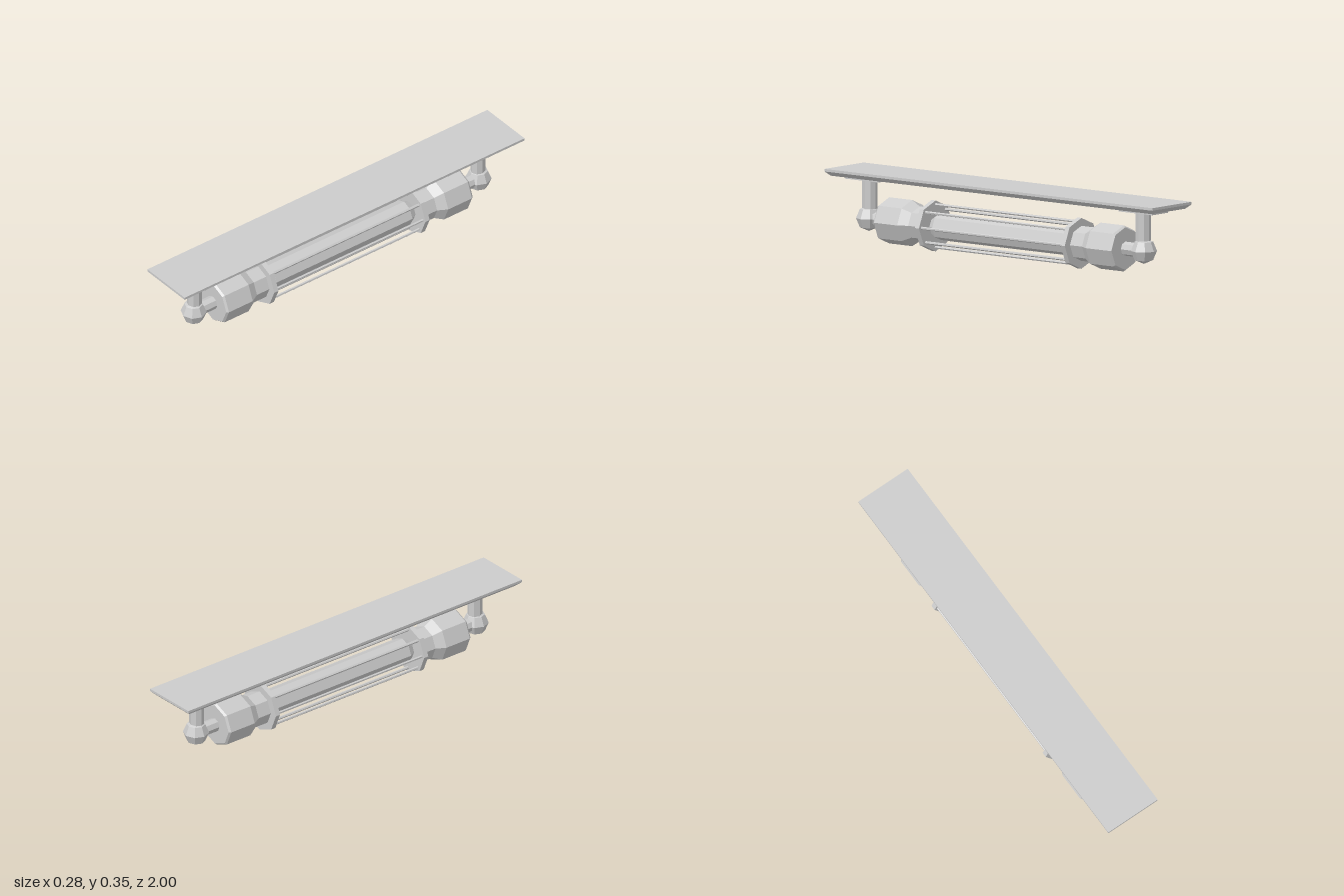
import * as THREE from 'three';

const material = new THREE.MeshStandardMaterial({ color: 0xcccccc, flatShading: true });

function part(name, geometry, parent) {
  const mesh = new THREE.Mesh(geometry, material);
  mesh.name = name;
  parent.add(mesh);
  return mesh;
}

// Eight-sided solid turned around the z axis from [radius, z] pairs in rising z
function turned(profile) {
  const points = profile.map(([r, z]) => new THREE.Vector2(r, z));
  return new THREE.LatheGeometry(points, 8).rotateX(Math.PI / 2);
}

// Ceiling plate whose underside is chamfered inward
function plateGeometry() {
  const g = new THREE.BoxGeometry(0.28, 0.032, 2, 1, 2, 1);
  const p = g.attributes.position;
  for (let i = 0; i < p.count; i++) {
    const y = p.getY(i);
    if (y < -0.01) {
      p.setX(i, Math.sign(p.getX(i)) * 0.119);
      p.setZ(i, Math.sign(p.getZ(i)) * 0.979);
    } else if (y < 0.01) p.setY(i, 0.004);
  }
  return g.translate(0, 0.333, 0);
}

// One end of the lamp, built towards +z around the lamp axis
function buildEnd() {
  const end = new THREE.Group();
  part('mountingPad', new THREE.BoxGeometry(0.115, 0.016, 0.205), end).position.set(0, 0.189, 0.834);
  part('post', new THREE.CylinderGeometry(0.035, 0.035, 0.16, 8), end).position.set(0, 0.106, 0.834);
  part('elbowBall', new THREE.SphereGeometry(0.061, 8, 4), end).position.z = 0.838;
  part('stem', turned([[0.033, 0.7], [0.033, 0.82]]), end);
  part('socket', turned([
    [0, 0.44], [0.082, 0.44], [0.082, 0.53], [0.108, 0.575],
    [0.108, 0.715], [0.1, 0.725], [0, 0.725],
  ]), end);
  part('cageFlange', turned([[0, 0.432], [0.119, 0.432], [0.119, 0.457], [0, 0.457]]), end);
  return end;
}

export function createModel() {
  const model = new THREE.Group();
  model.name = 'ceilingTubeLamp';
  part('ceilingPlate', plateGeometry(), model);

  // Everything below the plate shares the lamp axis
  const lamp = new THREE.Group();
  lamp.name = 'lamp';
  lamp.position.set(0.006, 0.12, 0.004);
  model.add(lamp);

  ['frontEnd', 'backEnd'].forEach((name, i) => {
    const end = buildEnd();
    end.name = name;
    end.rotation.y = i * Math.PI;
    lamp.add(end);
  });

  // Light tube with tapered ends
  part('lightTube', turned([
    [0.04, -0.44], [0.063, -0.4], [0.063, 0.4], [0.04, 0.44],
  ]), lamp);

  // Cage rods around the tube
  for (let i = 0; i < 8; i++) {
    const a = (i * Math.PI) / 4;
    const rod = part('cageRod', new THREE.CylinderGeometry(0.007, 0.007, 0.88, 6).rotateX(Math.PI / 2), lamp);
    rod.position.set(0.1 * Math.cos(a), 0.1 * Math.sin(a), 0);
    rod.rotation.z = a;
  }
  return model;
}
